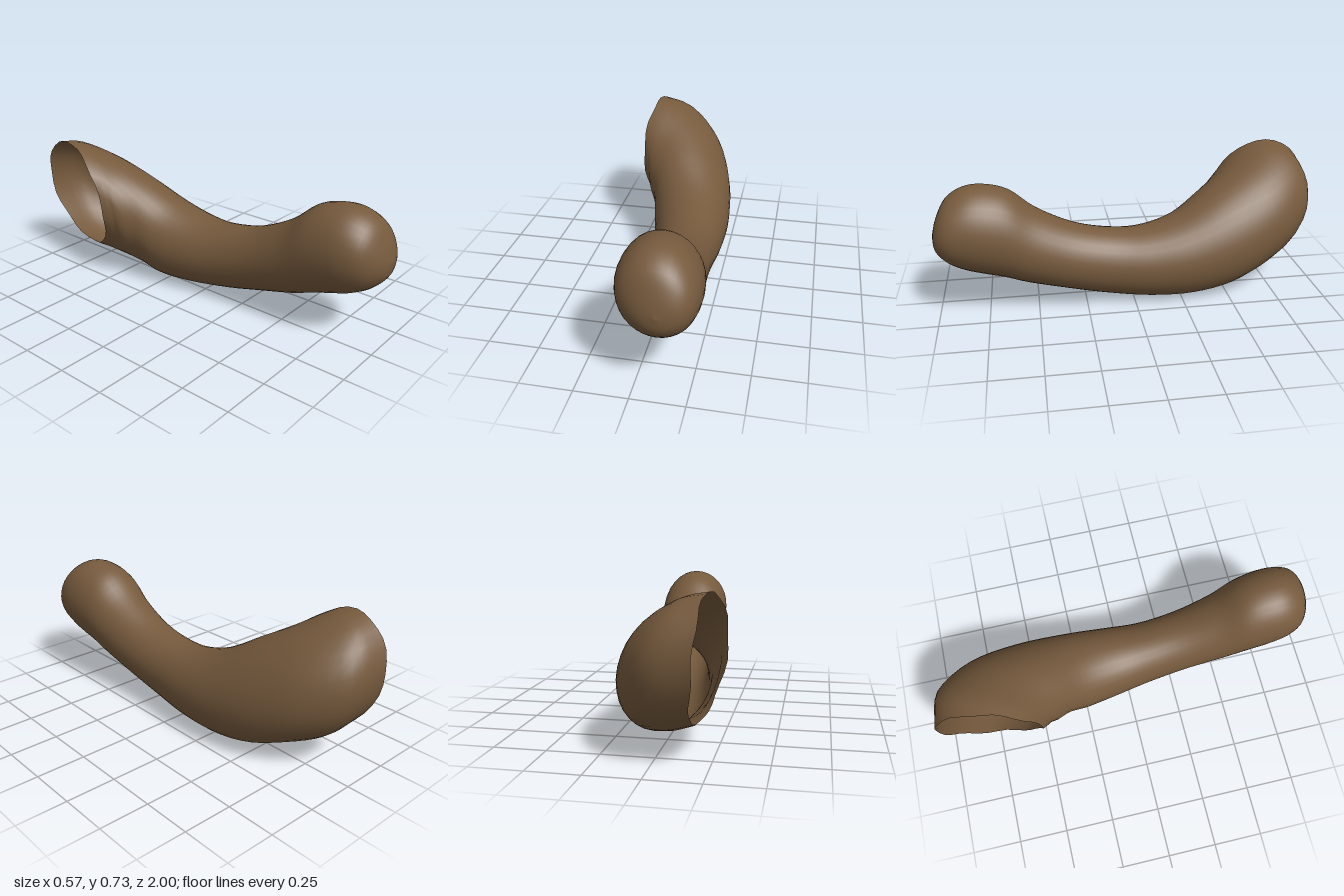
import * as THREE from 'three';

// Cross-sections from the closed front tip to the open rear rim:
// top point (x, y, z), bottom point (x, y, z), half-width vector (x, z)
const SECTIONS = [
  [0.12, 0.43, 1.0, 0.12, 0.43, 1.0, 0, 0],
  [0.12, 0.52, 0.975, 0.12, 0.355, 0.987, 0.085, 0],
  [0.10, 0.61, 0.925, 0.11, 0.29, 0.93, 0.155, 0],
  [0.09, 0.66, 0.84, 0.10, 0.245, 0.85, 0.185, 0],
  [0.085, 0.666, 0.74, 0.095, 0.215, 0.76, 0.192, 0],
  [0.08, 0.63, 0.62, 0.09, 0.185, 0.66, 0.186, 0],
  [0.075, 0.525, 0.49, 0.085, 0.145, 0.55, 0.172, 0],
  [0.07, 0.43, 0.30, 0.08, 0.095, 0.36, 0.16, 0],
  [0.065, 0.388, 0.10, 0.07, 0.045, 0.15, 0.163, 0],
  [0.06, 0.39, -0.06, 0.06, 0.008, -0.09, 0.187, 0],
  [0.04, 0.44, -0.24, 0.05, 0.002, -0.30, 0.207, -0.03],
  [0.0, 0.55, -0.44, 0.035, 0.03, -0.46, 0.205, -0.11],
  [-0.05, 0.64, -0.62, -0.03, 0.075, -0.58, 0.186, -0.195],
  [-0.14, 0.71, -0.75, -0.10, 0.11, -0.66, 0.125, -0.257],
  [-0.24, 0.735, -0.79, -0.18, 0.15, -0.70, 0.04, -0.25],
];
const STEPS = 56;
const SIDES = 32;

function bentTube() {
  const curve = (pick) =>
    new THREE.CatmullRomCurve3(SECTIONS.map((s) => new THREE.Vector3(...pick(s))), false, 'catmullrom', 0.5);
  const topLine = curve((s) => [s[0], s[1], s[2]]);
  const bottomLine = curve((s) => [s[3], s[4], s[5]]);
  const widths = curve((s) => [s[6], 0, s[7]]);

  const positions = [];
  const indices = [];
  for (let i = 0; i <= STEPS; i++) {
    const t = i / STEPS;
    const top = topLine.getPoint(t);
    const bottom = bottomLine.getPoint(t);
    const side = widths.getPoint(t);
    const centre = top.clone().add(bottom).multiplyScalar(0.5);
    const up = top.clone().sub(bottom).multiplyScalar(0.5);
    // The last section bows outwards at both sides towards a slightly ragged rim
    const rim = Math.max(0, t * (SECTIONS.length - 1) - (SECTIONS.length - 2));
    for (let j = 0; j < SIDES; j++) {
      const a = (j / SIDES) * Math.PI * 2;
      const p = centre.clone().addScaledVector(side, Math.cos(a)).addScaledVector(up, Math.sin(a));
      p.x += rim * (0.005 * Math.sin(a * 7) - 0.03 * Math.cos(a) ** 2);
      positions.push(p.x, p.y, p.z);
      if (i < STEPS) {
        const k = (j + 1) % SIDES;
        const r0 = i * SIDES;
        const r1 = r0 + SIDES;
        if (i > 0) indices.push(r0 + j, r1 + k, r0 + k);
        indices.push(r0 + j, r1 + j, r1 + k);
      }
    }
  }
  const geometry = new THREE.BufferGeometry();
  geometry.setAttribute('position', new THREE.Float32BufferAttribute(positions, 3));
  geometry.setIndex(indices);
  geometry.computeVertexNormals();
  return geometry;
}

export function createModel() {
  const model = new THREE.Group();
  model.name = 'bentHollowLimb';

  const brown = new THREE.MeshStandardMaterial({ color: 0x765a3d, side: THREE.DoubleSide });
  brown.name = 'brown';

  const limb = new THREE.Mesh(bentTube(), brown);
  limb.name = 'limb';
  model.add(limb);
  return model;
}
